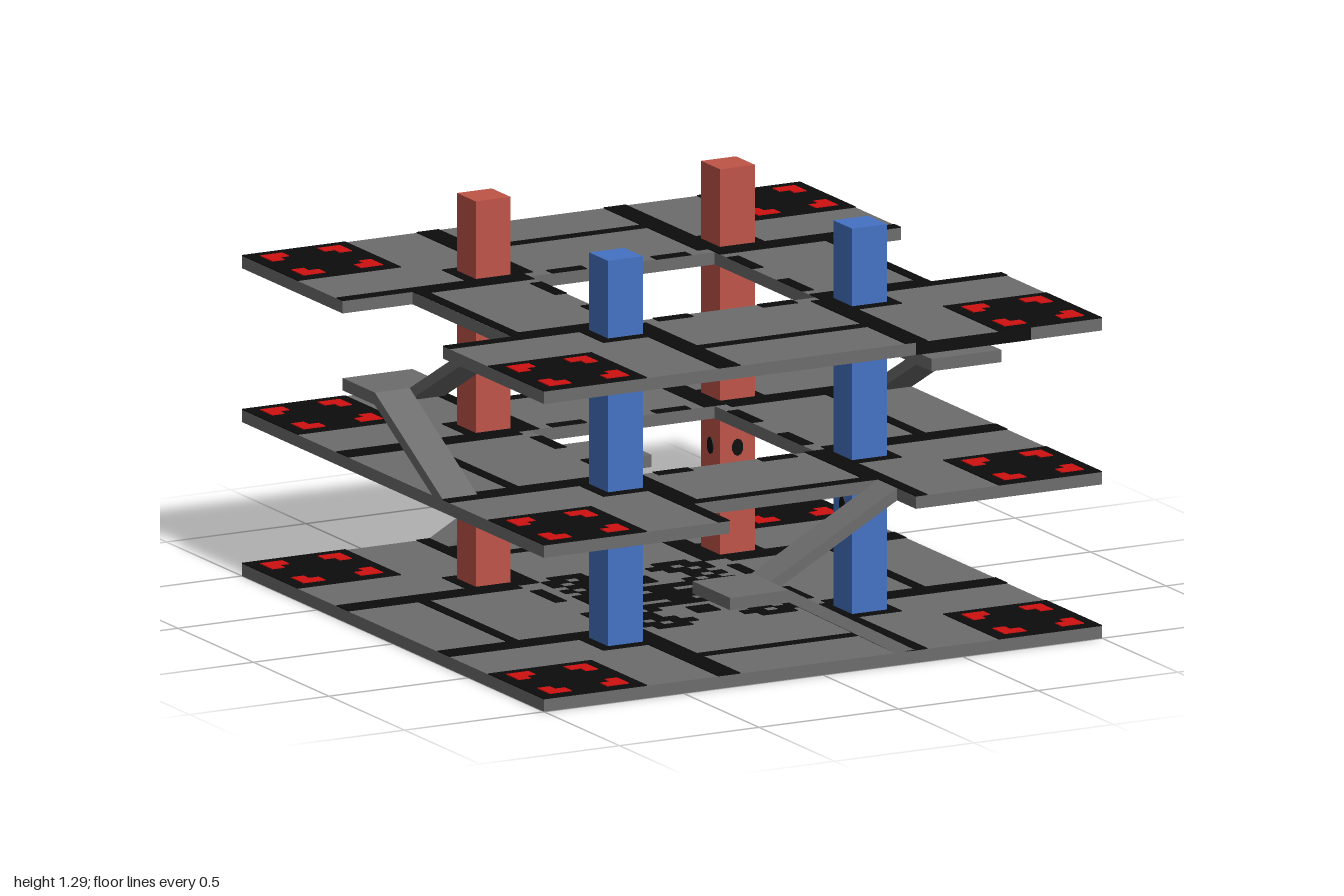
import * as THREE from 'three';
import { mergeGeometries } from 'three/addons/utils/BufferGeometryUtils.js';

const mat = (name, color) => {
  const m = new THREE.MeshStandardMaterial({ color });
  m.name = name;
  return m;
};

const THICK = 0.04, HOLE = 0.333, NOTCH = 0.75, STOREY = 0.5;

// One quadrant of the central floor ornament, mirrored into the other three
const ORNAMENT = [
  '#####.#..',
  '#...#.#..',
  '#######.#',
  '...#.#..#',
  '#...#.#.#',
  '#...##..#',
  '...##.#..',
  '..##.##..',
  '...###...',
];

export function createModel() {
  const grey = mat('grey concrete', 0x6c6c6c);
  const black = mat('black marking', 0x0c0c0c);
  const brightRed = mat('bright red marking', 0xd01010);
  const blue = mat('blue pillar paint', 0x4472c4);
  const red = mat('red pillar paint', 0xc05448);
  const model = new THREE.Group();
  model.name = 'threeStoreyArena';

  const add = (parent, name, geometry, material) => {
    const mesh = new THREE.Mesh(geometry, material);
    mesh.name = name;
    parent.add(mesh);
    return mesh;
  };

  // Thin plate lying on the floor top, given its x and z limits
  const plate = (x0, x1, z0, z1, h = 0.003) =>
    new THREE.BoxGeometry(Math.abs(x1 - x0), h, Math.abs(z1 - z0))
      .translate((x0 + x1) / 2, THICK + h / 2, (z0 + z1) / 2);

  // The same plate in all four quadrants
  const fourPlates = (x0, x1, z0, z1, h) => {
    const list = [];
    for (const sx of [-1, 1]) for (const sz of [-1, 1])
      list.push(plate(sx * x0, sx * x1, sz * z0, sz * z1, h));
    return list;
  };

  const polygon = (points) => new THREE.Shape(points.map(([x, y]) => new THREE.Vector2(x, y)));

  // Floor slab; upper ones have a central opening and stair notches front and back
  function slab(open) {
    const a = HOLE, n = NOTCH;
    const shape = polygon(open
      ? [[-1, -1], [-a, -1], [-a, -n], [a, -n], [a, -1], [1, -1],
         [1, 1], [a, 1], [a, n], [-a, n], [-a, 1], [-1, 1]]
      : [[-1, -1], [1, -1], [1, 1], [-1, 1]]);
    if (open) shape.holes.push(polygon([[-a, -a], [-a, a], [a, a], [a, -a]]));
    return new THREE.ExtrudeGeometry(shape, { depth: THICK, bevelEnabled: false }).rotateX(-Math.PI / 2);
  }

  // Painted lanes, room outlines, pillar bases and corner pads
  function markings(open) {
    const inner = open ? HOLE : 0.295;
    const lanes = [
      ...fourPlates(0.295, 0.375, HOLE, NOTCH),
      ...fourPlates(inner, 0.375, NOTCH, 1),
      ...fourPlates(0.375, 1, 0.295, 0.375),
      ...fourPlates(0.375, 0.535, 0.375, 0.535),
      ...fourPlates(0.63, 1, 0.63, 1),
    ];
    for (const s of [-1, 1]) {
      lanes.push(plate(-0.295, 0.295, s * 0.71, s * 0.749));
      lanes.push(plate(s * 0.71, s * 0.749, -0.295, 0.295));
    }
    return mergeGeometries(lanes);
  }

  // Four bright corner brackets on each corner pad
  function brackets() {
    const list = [], c = 0.815, h = 0.006;
    for (const sx of [-1, 1]) for (const sz of [-1, 1]) {
      const ox = c + sx * 0.143, oz = c + sz * 0.143;
      list.push(...fourPlates(ox, ox - sx * 0.08, oz, oz - sz * 0.045, h));
      list.push(...fourPlates(ox, ox - sx * 0.045, oz - sz * 0.045, oz - sz * 0.08, h));
    }
    return mergeGeometries(list);
  }

  // Ornament cells; around an opening only the outermost ring remains
  function ornament(open) {
    const list = [], s = 0.0415;
    ORNAMENT.forEach((row, r) => [...row].forEach((cell, c) => {
      if (cell !== '#' || (open && r < 8 && c < 8)) return;
      list.push(...fourPlates(c * s, (c + 1) * s, r * s, (r + 1) * s));
    }));
    return mergeGeometries(list);
  }

  // Switchback stair: outer ramp up to a landing, inner ramp back to the next floor
  function stair() {
    const g = new THREE.Group();
    g.name = 'switchbackStair';
    const mid = 0.29, low = 0.25, top = STOREY + THICK;
    const profile = (name, points, z0, z1) => add(g, name,
      new THREE.ExtrudeGeometry(polygon(points), { depth: z1 - z0, bevelEnabled: false })
        .translate(0, 0, z0), grey);
    profile('lowerRamp', [[HOLE, THICK], [-0.12, mid], [-0.12, low], [0.26, THICK]], 0.875, 1);
    profile('landing', [[-HOLE, low], [-0.12, low], [-0.12, mid], [-HOLE, mid]], 0.75, 1);
    profile('upperRamp', [[-0.12, low], [HOLE, STOREY], [HOLE, top], [-0.12, mid]], 0.75, 0.875);
    return g;
  }

  // Storeys, each upper one turned a quarter from the one below
  ['ground', 'middle', 'top'].forEach((label, i) => {
    const open = i > 0;
    const storey = new THREE.Group();
    storey.name = label + 'Storey';
    storey.position.y = i * STOREY;
    const turned = new THREE.Group();
    turned.name = label + 'Floor';
    turned.rotation.y = i === 2 ? -Math.PI / 2 : 0;
    add(turned, 'slab', slab(open), grey);
    add(turned, 'floorLanes', markings(open), black);
    add(turned, 'padBrackets', brackets(), brightRed);
    add(storey, 'floorOrnament', ornament(open), black);
    storey.add(turned);
    model.add(storey);

    // Pair of stairs leading up from this storey
    if (i < 2) for (const turn of [0, Math.PI]) {
      const s = stair();
      s.position.y = i * STOREY;
      s.rotation.y = turn - i * Math.PI / 2;
      model.add(s);
    }
  });

  // Dark strip on the top floor's front edge
  add(model, 'edgeStrip', new THREE.BoxGeometry(0.412, THICK, 0.003)
    .translate(0.539, 2 * STOREY + THICK / 2, 0.9995), black);

  // Pillars through all storeys, blue in front and red behind, with a spot on each face
  const P = 0.4375, W = 0.125;
  for (const sx of [-1, 1]) for (const sz of [-1, 1]) {
    const pillar = new THREE.Group();
    pillar.name = sz > 0 ? 'frontPillar' : 'backPillar';
    pillar.position.set(sx * P, 0, sz * P);
    add(pillar, 'shaft', new THREE.BoxGeometry(W, 1.28, W).translate(0, 0.655, 0), sz > 0 ? blue : red);
    for (let k = 0; k < 4; k++) {
      add(pillar, 'spot', new THREE.CylinderGeometry(0.02, 0.02, 0.004, 10)
        .rotateX(Math.PI / 2).scale(1, 1.4, 1)
        .translate(0, 0.385, W / 2 + 0.001).rotateY(k * Math.PI / 2), black);
    }
    model.add(pillar);
  }
  return model;
}
